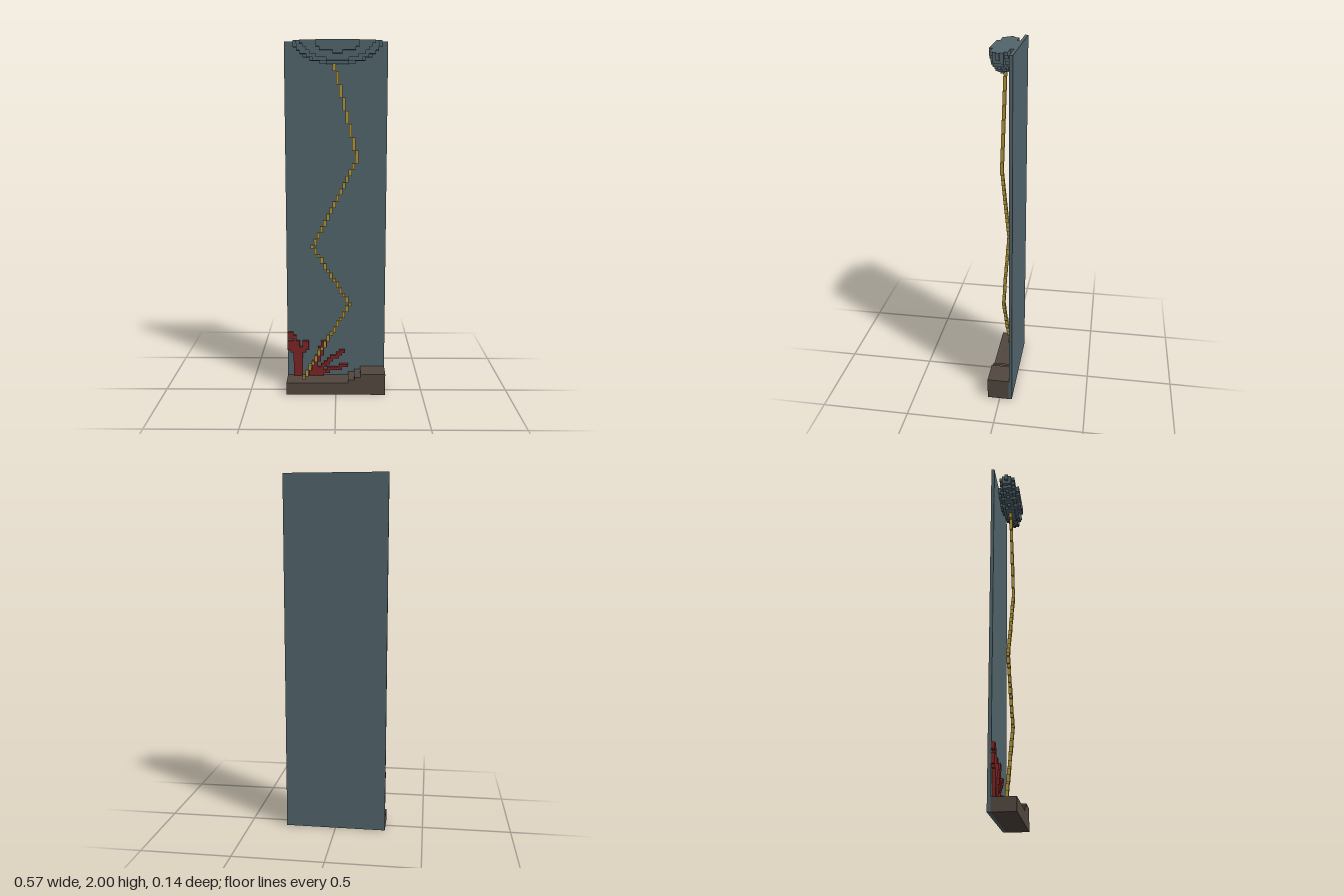
import * as THREE from 'three';
import { mergeGeometries } from 'three/addons/utils/BufferGeometryUtils.js';

const U = 2 / 112; // one voxel

const flat = (name, color) => {
  const m = new THREE.MeshStandardMaterial({ color });
  m.name = name;
  return m;
};

// box from its lowest corner and size, in voxels
function block(x, y, z, w, h, d) {
  return new THREE.BoxGeometry(w * U, h * U, d * U)
    .translate((x + w / 2) * U, (y + h / 2) * U, (z + d / 2) * U);
}

function part(name, boxes, material) {
  const mesh = new THREE.Mesh(mergeGeometries(boxes), material);
  mesh.name = name;
  return mesh;
}

// stepped line of voxels, advancing along its longer axis
function steppedLine([x0, y0], [x1, y1], z, width = 1) {
  const n = Math.max(Math.abs(x1 - x0), Math.abs(y1 - y0));
  const boxes = [];
  for (let i = 0; i <= n; i++) {
    const x = Math.round(x0 + (x1 - x0) * i / n);
    const y = Math.round(y0 + (y1 - y0) * i / n);
    boxes.push(block(x, y, z, width, 1, 1));
  }
  return boxes;
}

export function createModel() {
  const group = new THREE.Group();
  const slate = flat('slate blue', 0x52656c);
  const earth = flat('brown earth', 0x52473f);
  const red = flat('coral red', 0x7a2424);
  const gold = flat('gold', 0xb0943a);

  group.add(part('backPanel', [block(-16, 0, -4, 32, 112, 1)], slate));

  // seabed with a stepped mound on one side
  group.add(part('seabed', [
    block(-16, 0, -3, 20, 4, 7),
    block(4, 0, -3, 2, 5, 7),
    block(6, 0, -3, 2, 6, 7),
    block(8, 0, -3, 8, 7, 7),
  ], earth));

  // hull: lower half of an ellipsoid, sliced into voxel rows
  const hull = [];
  for (let layer = 0; layer < 7; layer++) {
    for (let z = -3; z <= 3; z++) {
      const rest = 1 - ((layer + 0.5) / 7) ** 2 - (z / 3.5) ** 2;
      if (rest <= 0) continue;
      const r = Math.floor(Math.sqrt(rest) * 13.5);
      hull.push(block(-r, 111 - layer, z, 2 * r + 1, 1, 1));
    }
  }
  group.add(part('hull', hull, slate));

  // zigzag chain from the hull to the seabed
  const bends = [[-1, 105], [6, 76], [-8, 48], [4, 29], [-11, 4]];
  const chain = [];
  for (let i = 0; i < bends.length - 1; i++) {
    chain.push(...steppedLine(bends[i], bends[i + 1], 0));
  }
  group.add(part('chain', chain, gold));

  // tall coral: trunk with curled arms
  const tall = [
    [-14, 4, 3, 8], [-15, 12, 5, 2], [-16, 13, 2, 3], [-11, 13, 2, 3],
    [-14, 14, 2, 2], [-14, 16, 1, 1], [-16, 17, 3, 1], [-16, 18, 2, 1],
  ].map(([x, y, w, h]) => block(x, y, -3, w, h, 1));
  group.add(part('tallCoral', tall, red));

  // fan coral: branches spreading from one root
  const fan = [block(-9, 4, -3, 5, 1, 1)];
  for (const tip of [[-5, 15], [1, 12], [2, 7]]) {
    fan.push(...steppedLine([-9, 4], tip, -3, 2));
  }
  group.add(part('fanCoral', fan, red));

  return group;
}
